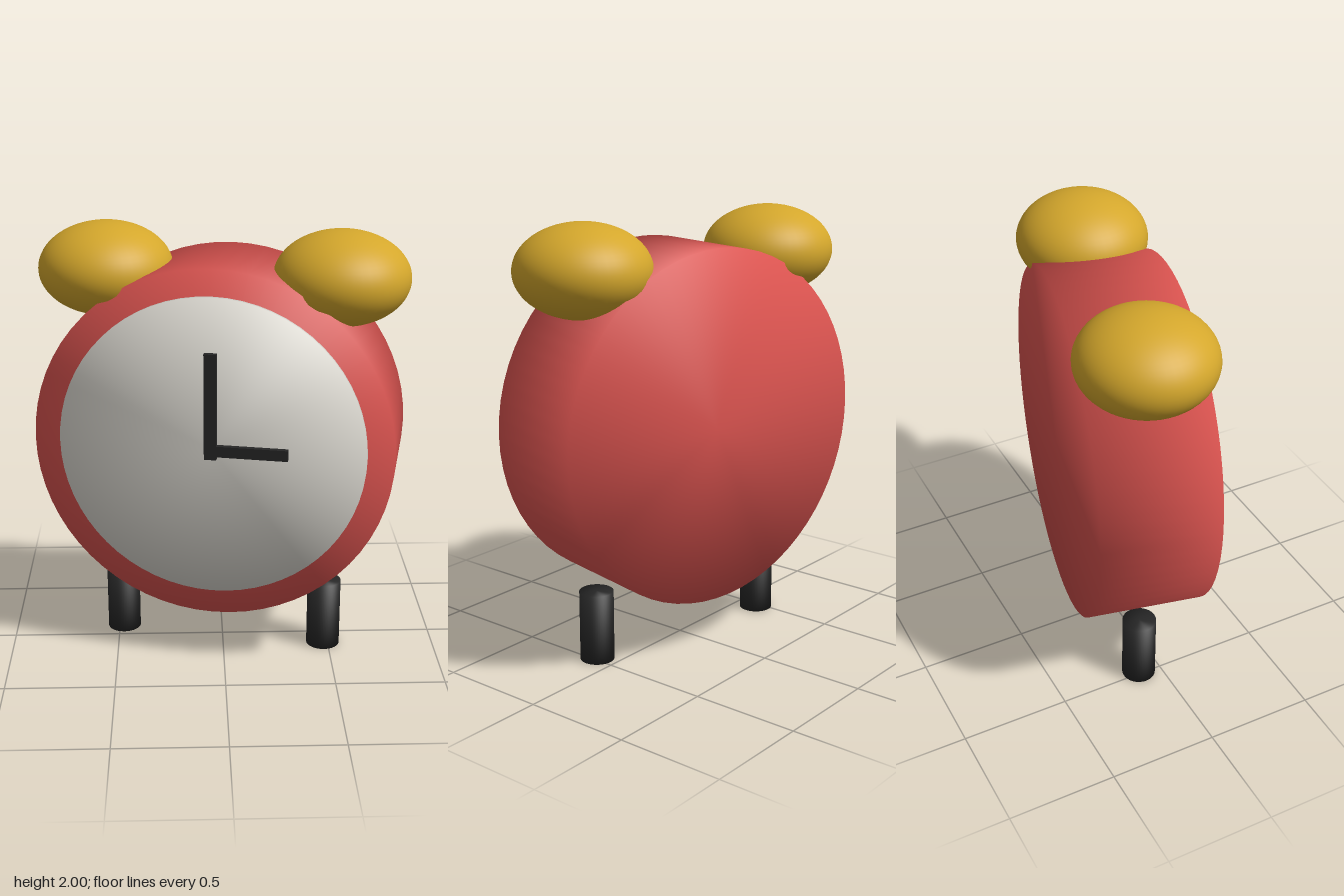
import * as THREE from 'three';

const material = (name, color) => {
  const m = new THREE.MeshStandardMaterial({ color });
  m.name = name;
  return m;
};

// Cylinder along y whose shading rolls smoothly over the rims
function softCylinder(radius, height) {
  const geo = new THREE.CylinderGeometry(radius, radius, height, 64);
  const pos = geo.attributes.position;
  const n = new THREE.Vector3();
  for (let i = 0; i < pos.count; i++) {
    n.set(pos.getX(i) / radius, Math.sign(pos.getY(i)), pos.getZ(i) / radius).normalize();
    geo.attributes.normal.setXYZ(i, n.x, n.y, n.z);
  }
  return geo;
}

export function createModel() {
  const red = material('red enamel', 0xd9534f);
  const white = material('dial white', 0xdddad2);
  const gold = material('bell gold', 0xd4a72c);
  const black = material('black', 0x262626);

  const clock = new THREE.Group();
  clock.name = 'alarmClock';
  const add = (name, geo, mat, x, y, z) => {
    const mesh = new THREE.Mesh(geo, mat);
    mesh.name = name;
    mesh.position.set(x, y, z);
    clock.add(mesh);
    return mesh;
  };

  // Drum body and dial, both facing +z
  const centreY = 1.06;
  add('body', softCylinder(0.81, 0.53).rotateX(Math.PI / 2), red, 0, centreY, 0);
  add('dial', softCylinder(0.69, 0.03).rotateX(Math.PI / 2), white, 0, centreY, 0.27);

  // Hands showing three o'clock
  add('minuteHand', new THREE.BoxGeometry(0.055, 0.485, 0.026), black, 0, 1.2625, 0.297);
  add('hourHand', new THREE.BoxGeometry(0.36, 0.05, 0.025), black, 0.165, centreY, 0.297);

  // Mirrored bells and legs
  for (const [side, s] of [['left', 1], ['right', -1]]) {
    add(side + 'Bell', new THREE.SphereGeometry(0.302, 48, 32).scale(1, 0.686, 1), gold, s * 0.53, 1.793, 0);
    add(side + 'Leg', softCylinder(0.078, 0.33), black, s * 0.488, 0.165, 0);
  }

  // The clock stands turned slightly to its right
  clock.rotation.y = THREE.MathUtils.degToRad(-12);
  const model = new THREE.Group();
  model.name = 'model';
  model.add(clock);
  return model;
}
